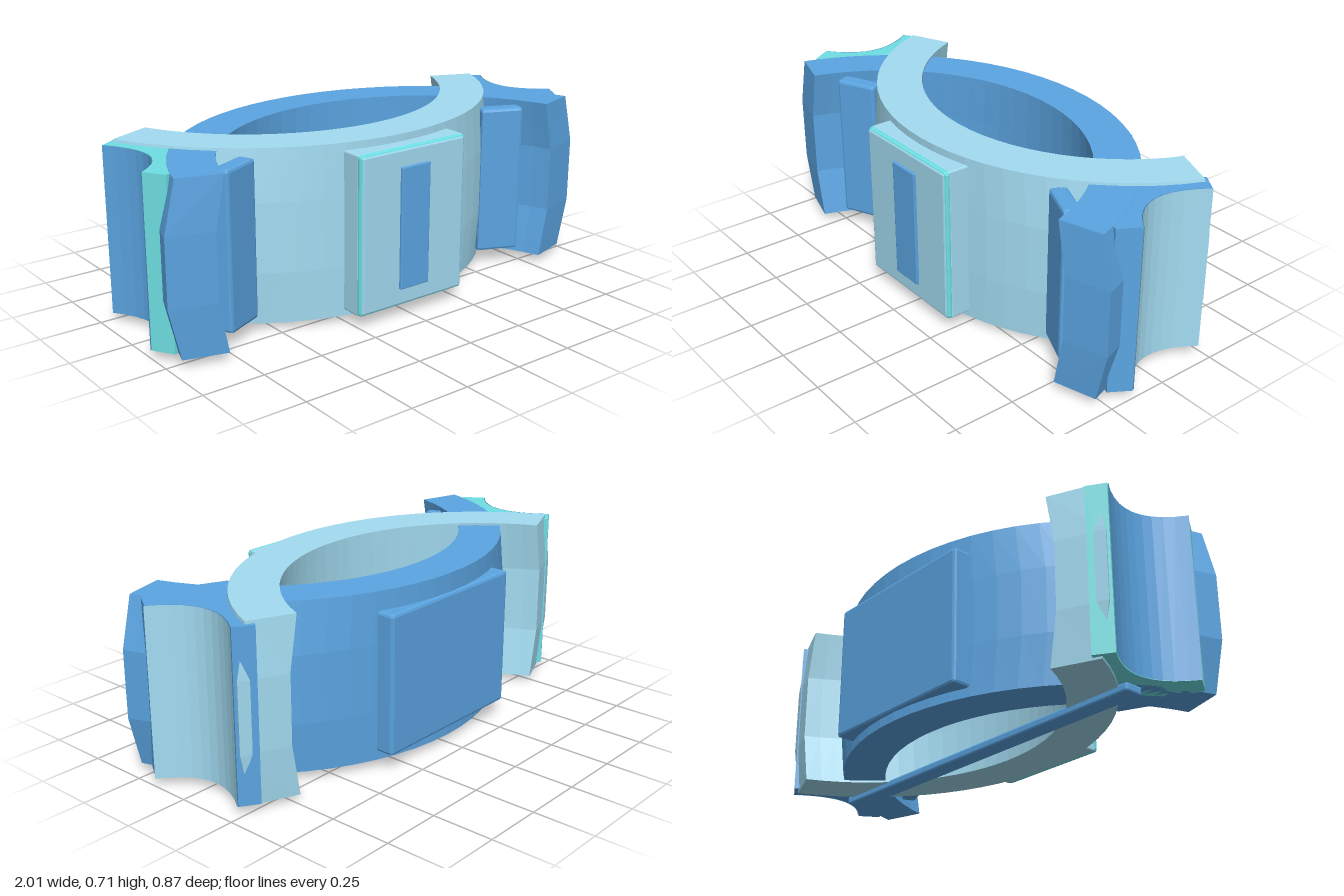
import * as THREE from 'three';
import { RoundedBoxGeometry } from 'three/addons/geometries/RoundedBoxGeometry.js';

const mat = (color, extra = {}) => {
  const m = new THREE.MeshStandardMaterial({ flatShading: true, ...extra });
  m.color.set(color);
  return m;
};
const LIGHT = 0xa3dcf2, BLUE = 0x5ba5e2, TEAL = 0x6fe0e4;

function add(group, name, geometry, color, extra) {
  const mesh = new THREE.Mesh(geometry, mat(color, extra));
  mesh.name = name;
  group.add(mesh);
  return mesh;
}

function block(group, name, color, size, pos, radius = 0.012, turn = 0) {
  const mesh = add(group, name, new RoundedBoxGeometry(...size, 1, radius), color);
  mesh.position.set(...pos);
  mesh.rotation.y = turn;
  return mesh;
}

// Curved band: an eight-point section swept round an arc; mid height is wider in x
function bandGeometry({ centre, side, inner, outer, angle, y0, y1, segments = 28 }) {
  const levels = [0, 0.3, 0.7, 1].map((t, i) => [y0 + (y1 - y0) * t, i === 1 || i === 2 ? 1.05 : 1]);
  const section = [
    ...levels.map(([y, wide]) => [outer, y, wide]),
    ...levels.slice().reverse().map(([y, wide]) => [inner, y, wide]),
  ];
  const point = (i, k) => {
    const a = angle * (2 * i / segments - 1);
    const [r, y, wide] = section[k % 8];
    return [r * Math.sin(a) * wide, y, centre + side * r * Math.cos(a)];
  };
  const out = [];
  const quad = (a, b, c, d) => {
    const order = side > 0 ? [a, b, c, a, c, d] : [a, c, b, a, d, c];
    order.forEach(p => out.push(...p));
  };
  for (let i = 0; i < segments; i++)
    for (let k = 0; k < 8; k++)
      quad(point(i, k), point(i + 1, k), point(i + 1, k + 1), point(i, k + 1));
  // End caps
  for (let k = 0; k < 3; k++) {
    const loop = [k, k + 1, 6 - k, 7 - k];
    quad(...loop.map(n => point(0, n)));
    quad(...loop.reverse().map(n => point(segments, n)));
  }
  const g = new THREE.BufferGeometry();
  g.setAttribute('position', new THREE.Float32BufferAttribute(out, 3));
  g.computeVertexNormals();
  return g;
}

// Hollowed wedge joining the tips of the two bands at one end
function connector(group, name, s, bodyColor, faceColor) {
  const y0 = 0.034, height = 0.67;
  const curve = new THREE.QuadraticBezierCurve(
    new THREE.Vector2(s * 0.95, -0.235),
    new THREE.Vector2(s * 0.78, 0),
    new THREE.Vector2(s * 1.0, 0.15));
  const outline = [
    ...curve.getPoints(10),
    new THREE.Vector2(s * 0.95, 0.23),
    new THREE.Vector2(s * 0.85, 0.2),
    new THREE.Vector2(s * 0.7, 0),
    new THREE.Vector2(s * 0.88, -0.28),
  ];
  const part = new THREE.Group();
  part.name = name;
  const body = new THREE.ExtrudeGeometry(new THREE.Shape(outline), { depth: height, bevelEnabled: false });
  body.rotateX(Math.PI / 2).translate(0, y0 + height, 0);
  add(part, 'connectorBody', body, bodyColor);

  const face = new THREE.PlaneGeometry(1, height, 10, 1);
  const p = face.attributes.position;
  for (let i = 0; i < p.count; i++) {
    const c = curve.getPoint(p.getX(i) + 0.5);
    p.setXYZ(i, c.x + s * 0.004, p.getY(i) + y0 + height / 2, c.y);
  }
  face.computeVertexNormals();
  add(part, 'hollowFace', face, faceColor, { side: THREE.DoubleSide });
  group.add(part);
}

export function createModel() {
  const model = new THREE.Group();
  model.name = 'crossedBands';

  // Two crossing bands
  add(model, 'frontBand', bandGeometry({
    centre: -0.63, side: 1, inner: 0.79, outer: 0.977, angle: 1.17, y0: 0.025, y1: 0.715 }), LIGHT);
  add(model, 'backBand', bandGeometry({
    centre: 0.57, side: -1, inner: 0.82, outer: 0.995, angle: 1.283, y0: 0.034, y1: 0.705 }), BLUE);

  // End connectors
  connector(model, 'rightConnector', -1, TEAL, BLUE);
  connector(model, 'leftConnector', 1, BLUE, LIGHT);

  // Front plate with bright rim and centre strip
  block(model, 'frontPlateRim', TEAL, [0.51, 0.635, 0.03], [0, 0.368, 0.402]);
  block(model, 'frontPlate', LIGHT, [0.495, 0.62, 0.12], [0, 0.368, 0.36], 0.006);
  block(model, 'frontPlateBody', LIGHT, [0.51, 0.635, 0.11], [0, 0.368, 0.345], 0.006);
  block(model, 'frontStrip', BLUE, [0.14, 0.49, 0.03], [0, 0.367, 0.416], 0.004);

  // Back plate
  block(model, 'backPlate', BLUE, [0.71, 0.56, 0.085], [0, 0.35, -0.393]);

  // Slanted side slabs
  for (const s of [-1, 1])
    block(model, s > 0 ? 'leftSlab' : 'rightSlab', BLUE,
      [0.18, 0.625, 0.07], [s * 0.66, 0.372, 0.195], 0.012, -s * 0.42);

  // Bar across the underside
  block(model, 'bottomBar', BLUE, [1.64, 0.034, 0.08], [0, 0.017, 0], 0.008);
  return model;
}
